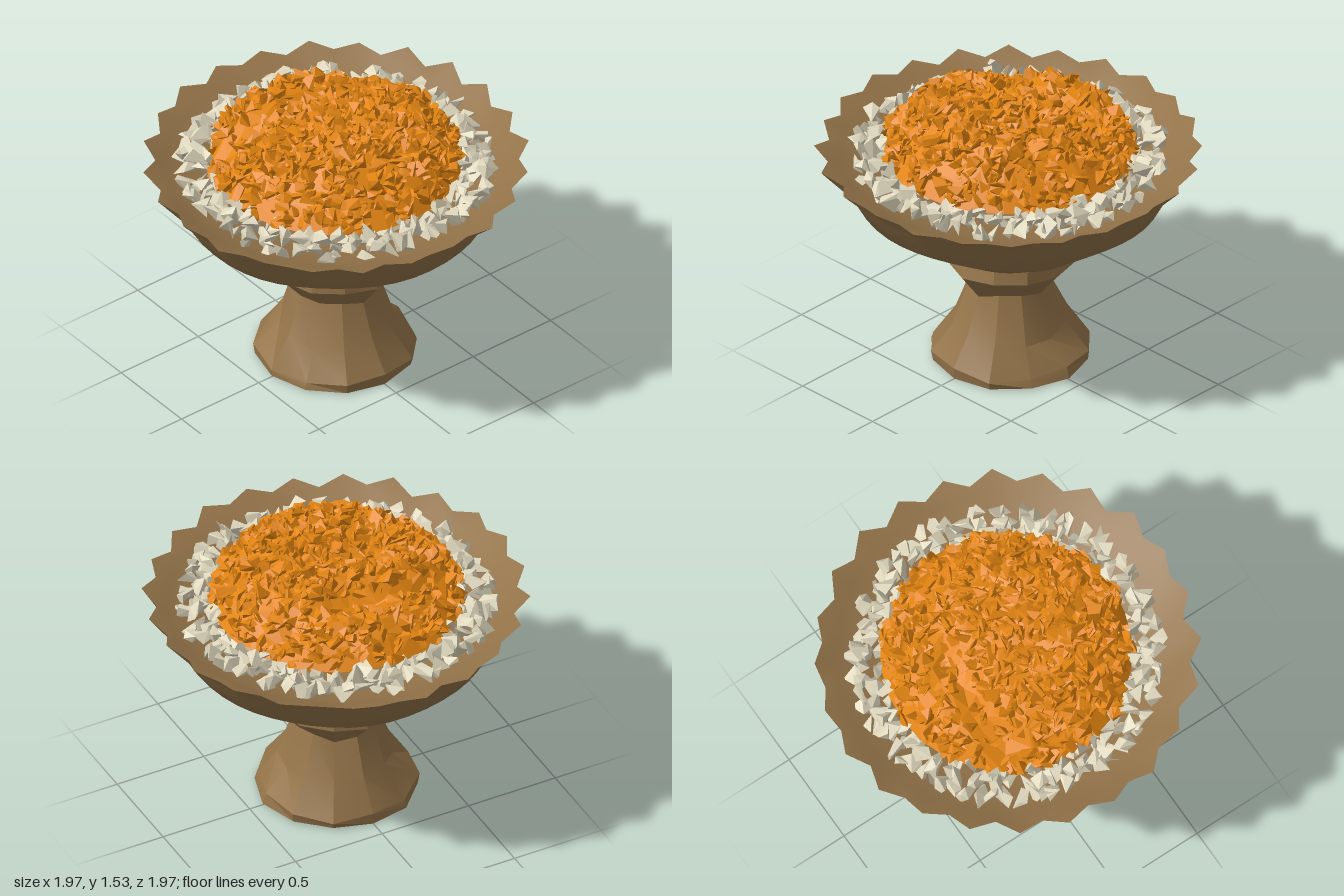
import * as THREE from 'three';
import { mergeGeometries, toCreasedNormals } from 'three/addons/utils/BufferGeometryUtils.js';
import { ConvexGeometry } from 'three/addons/geometries/ConvexGeometry.js';

// Small seeded random source
function makeRandom(seed) {
  let s = seed;
  return () => {
    s = (s * 16807) % 2147483647;
    return s / 2147483647;
  };
}

// Lathe whose vertices are shifted by rule(ring, segment) -> { scale, lift }
function roughLathe(profile, segments, rule, crease) {
  const points = profile.map(([r, y]) => new THREE.Vector2(r, y));
  const geo = new THREE.LatheGeometry(points, segments);
  const pos = geo.attributes.position;
  for (let k = 0; k < pos.count; k++) {
    const ring = k % points.length;
    const seg = Math.floor(k / points.length) % segments;
    const { scale, lift } = rule(ring, seg);
    const a = (seg / segments) * Math.PI * 2;
    const r = points[ring].x * scale;
    pos.setXYZ(k, r * Math.sin(a), points[ring].y + lift, r * Math.cos(a));
  }
  return toCreasedNormals(geo, crease);
}

// Irregular faceted chip
function chip(random, radius, x, y, z) {
  const corners = [];
  for (let i = 0; i < 7; i++) {
    const v = new THREE.Vector3(random() - 0.5, random() - 0.5, random() - 0.5).normalize();
    corners.push(v.multiplyScalar(radius * (0.75 + 0.45 * random())));
  }
  return new ConvexGeometry(corners).translate(x, y, z);
}

// Height of the heap: a steep-sided mound, a knoll in front, a gully behind
function heapHeight(x, z) {
  const r = Math.min(Math.hypot(x, z) / 0.67, 1);
  const knoll = 0.05 * Math.exp(-((x / 0.35) ** 2) - ((z - 0.3) / 0.14) ** 2);
  const gully = 0.11 * Math.exp(-(((z + 0.31) / 0.09) ** 2));
  const lumps = 0.02 * Math.sin(x * 13 + 1) * Math.cos(z * 11);
  return 1.16 + 0.29 * (1 - r ** 4) + (knoll - gully + lumps) * (1 - r ** 6);
}

export function createModel() {
  const model = new THREE.Group();
  const wood = new THREE.MeshStandardMaterial({ color: 0x937349 });
  wood.name = 'brown wood';
  const pale = new THREE.MeshStandardMaterial({ color: 0xded6bc });
  pale.name = 'pale stone';
  const orange = new THREE.MeshStandardMaterial({ color: 0xe28411 });
  orange.name = 'orange';

  const add = (name, geometry, material) => {
    const mesh = new THREE.Mesh(geometry, material);
    mesh.name = name;
    model.add(mesh);
  };

  // Pedestal: bulging foot, narrow waist and collar, roughly hewn
  const rndFoot = makeRandom(11);
  const footNoise = Array.from({ length: 96 }, () => rndFoot() - 0.5);
  const footProfile = [
    [0, 0.012], [0.415, 0.015], [0.415, 0.065], [0.295, 0.21],
    [0.22, 0.44], [0.335, 0.58], [0.325, 0.66], [0, 0.66],
  ];
  const footLift = [0, 0.015, 0.03, 0.06, 0.04, 0.015, 0.01, 0];
  add('pedestal', roughLathe(footProfile, 12, (ring, seg) => ({
    scale: 1 + 0.07 * footNoise[ring * 12 + seg],
    lift: footLift[ring] * footNoise[ring * 12 + ((seg + 5) % 12)],
  }), 0.4), wood);

  // Bowl: outer wall up to a ragged toothed rim, then the shallow inside
  const bowlProfile = [
    [0, 0.65], [0.32, 0.655], [0.56, 0.81], [0.79, 0.96], [0.865, 1.1],
    [0.96, 1.21], [0.87, 1.17], [0.76, 1.11], [0.5, 1.05], [0, 1.05],
  ];
  const rndRim = makeRandom(29);
  const rimNoise = Array.from({ length: 48 }, () => rndRim() - 0.5);
  add('bowl', roughLathe(bowlProfile, 48, (ring, seg) => {
    if (ring === 5) {
      const tooth = seg % 2 === 0 ? 0.031 : -0.031;
      return { scale: 1 + tooth + 0.025 * rimNoise[seg], lift: tooth * 0.4 + 0.02 * rimNoise[(seg + 7) % 48] };
    }
    if (ring < 2 || ring > 5) return { scale: 1, lift: 0 };
    const wave = Math.sin((seg * Math.PI) / 4 + ring * 2) + Math.sin((seg * Math.PI) / 8 + ring);
    return { scale: 1 + 0.008 * wave, lift: 0.01 * wave };
  }, 0.7), wood);

  // Ring of pale chips inside the rim
  const rnd = makeRandom(77);
  const stones = [];
  for (const [count, radius, y] of [[64, 0.645, 1.18], [70, 0.71, 1.19], [74, 0.77, 1.18]]) {
    for (let i = 0; i < count; i++) {
      const a = ((i + rnd() * 0.7) / count) * Math.PI * 2;
      const r = radius + 0.03 * (rnd() - 0.5);
      stones.push(chip(rnd, 0.047 + 0.022 * rnd(), r * Math.sin(a), y + 0.05 * (rnd() - 0.5), r * Math.cos(a)));
    }
  }
  add('paleChipRing', mergeGeometries(stones), pale);

  // Solid mound under the orange chips
  const rings = Array.from({ length: 9 }, (_, i) => new THREE.Vector2(0.645 * (1 - i / 8), 0));
  const mound = new THREE.LatheGeometry(rings, 26);
  const pos = mound.attributes.position;
  for (let k = 0; k < pos.count; k++) pos.setY(k, heapHeight(pos.getX(k), pos.getZ(k)));
  add('orangeMound', toCreasedNormals(mound, 0.1), orange);

  // Orange chips scattered evenly over the mound, sparser in the gully
  const chips = [];
  const total = 950;
  for (let i = 0; i < total; i++) {
    const r = 0.635 * Math.sqrt((i + 0.5) / total);
    const a = i * 2.39996 + 0.4 * rnd();
    const x = r * Math.sin(a);
    const z = r * Math.cos(a);
    if (Math.abs(z + 0.33) < 0.1 && x < 0.25 && rnd() < 0.6) continue;
    chips.push(chip(rnd, 0.032 + 0.026 * rnd(), x, heapHeight(x, z) + 0.025 * (rnd() - 0.4), z));
  }
  add('orangeChips', mergeGeometries(chips), orange);

  return model;
}
